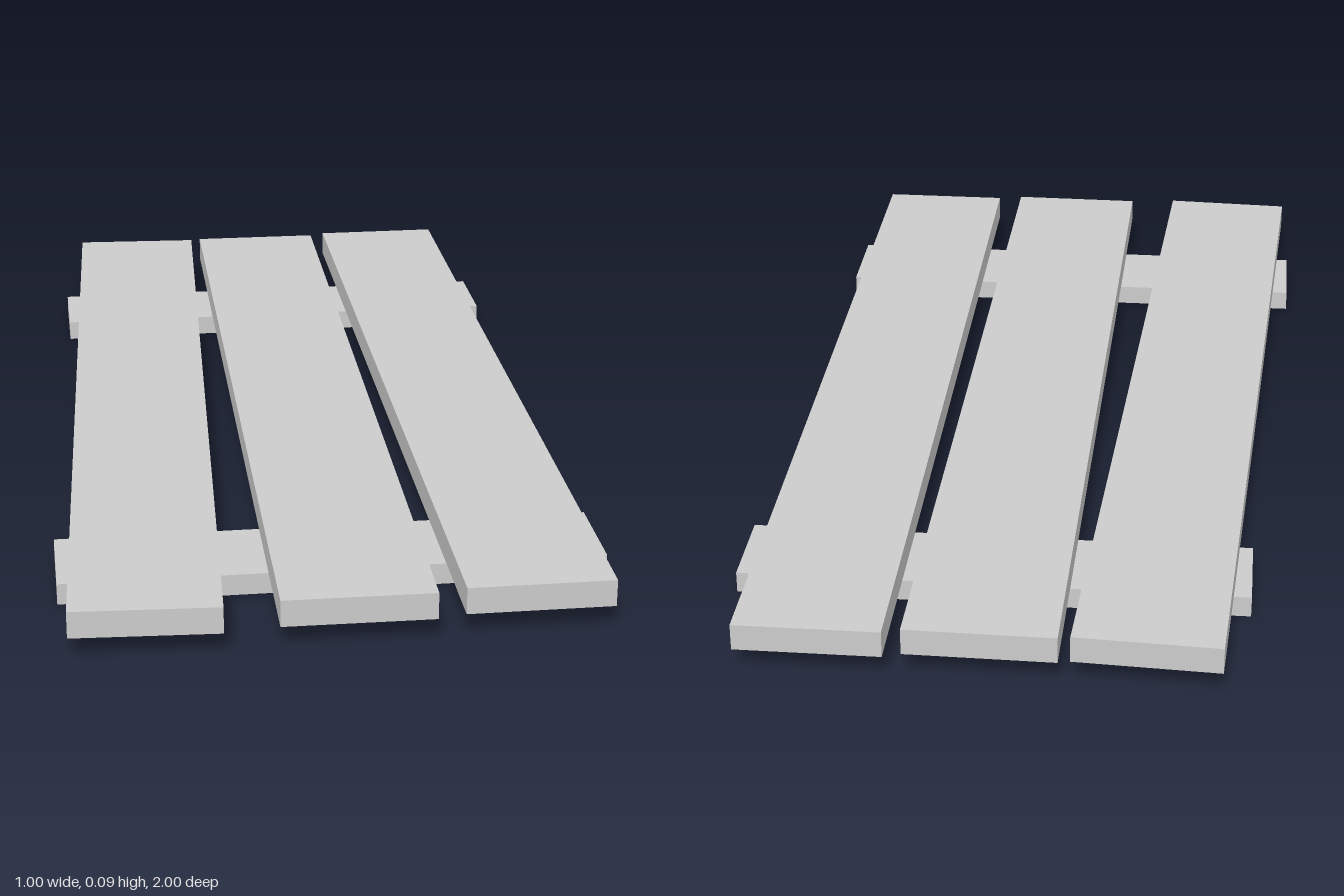
import * as THREE from 'three';

export function createModel() {
  const group = new THREE.Group();
  const material = new THREE.MeshStandardMaterial({ color: 0xcccccc, flatShading: true });

  // A flat board lying at height y, turned slightly about the vertical axis
  function board(name, [width, height, depth], [x, y, z], yaw) {
    const mesh = new THREE.Mesh(new THREE.BoxGeometry(width, height, depth), material);
    mesh.name = name;
    mesh.position.set(x, y + height / 2, z);
    mesh.rotation.y = yaw;
    group.add(mesh);
  }

  const battenHeight = 0.04;
  const plankHeight = 0.05;

  // Two cross battens on the ground
  board('backBatten', [0.942, battenHeight, 0.174], [-0.008, 0, -0.648], 0.033);
  board('frontBatten', [0.994, battenHeight, 0.185], [-0.002, 0, 0.676], 0.035);

  // Three long planks laid loosely across the battens
  board('rightPlank', [0.265, plankHeight, 1.962], [-0.328, battenHeight, 0.013], -0.016);
  board('middlePlank', [0.273, plankHeight, 1.953], [0, battenHeight, 0.001], 0.023);
  board('leftPlank', [0.264, plankHeight, 1.953], [0.309, battenHeight, -0.02], 0.033);

  return group;
}
